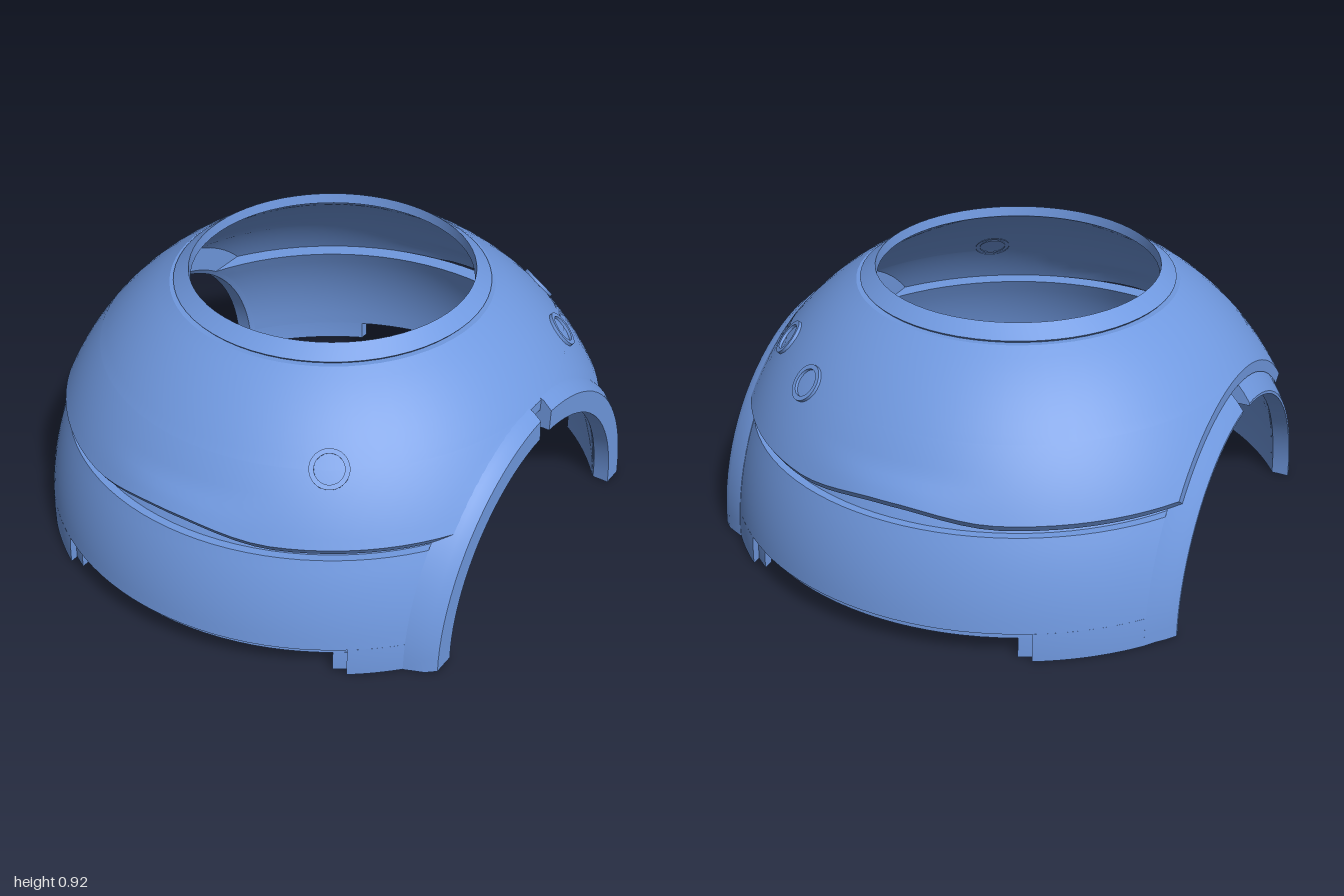
import * as THREE from 'three';
import { mergeGeometries, mergeVertices, toCreasedNormals } from 'three/addons/utils/BufferGeometryUtils.js';

const material = new THREE.MeshStandardMaterial({ color: 0x7099e0, side: THREE.DoubleSide });
const UPPER_CLIP = 0.79; // flat side cut of the upper dome
const LOWER_CLIP = 0.76; // where the lower shell meets the arch rims

// Meridian of a sphere as [radius, y] points, with rows packed near the top of the side cut
function arc(R, y0, y1, clip) {
  const ys = [];
  const top = Math.sqrt(R * R - clip * clip);
  if (y0 < top && top < y1) {
    const t0 = Math.asin(y0 / top);
    for (let i = 0; i <= 12; i++) ys.push(top * Math.sin(t0 + (Math.PI / 2 - t0) * i / 12));
    for (let i = 1; i <= 8; i++) ys.push(top + (y1 - top) * i / 8);
  } else {
    for (let i = 0; i <= 8; i++) ys.push(y0 + (y1 - y0) * i / 8);
  }
  return ys.map((y) => [Math.sqrt(R * R - y * y), y]);
}
const at = (R, y) => [Math.sqrt(R * R - y * y), y];

// Grid swept around y between two x limits; side = 1 front, -1 back
function patch(profile, x0, x1, side, warp) {
  const N = 32, pos = [], index = [];
  for (const [r, y] of profile) {
    const a0 = Math.asin(Math.max(-1, x0 / r)), a1 = Math.asin(Math.min(1, x1 / r));
    for (let j = 0; j <= N; j++) {
      const a = a0 + (a1 - a0) * j / N, x = r * Math.sin(a);
      pos.push(x, warp ? warp(x, y) : y, side * r * Math.cos(a));
    }
  }
  for (let i = 0; i < profile.length - 1; i++) {
    for (let j = 0; j < N; j++) {
      const a = i * (N + 1) + j, b = a + 1, c = b + N + 1, d = a + N + 1;
      if (side > 0) index.push(a, b, c, a, c, d);
      else index.push(a, c, b, a, d, c);
    }
  }
  const g = new THREE.BufferGeometry();
  g.setAttribute('position', new THREE.Float32BufferAttribute(pos, 3));
  g.setIndex(index);
  return g;
}

// Flat end of a swept section on a plane of constant x
function endCap(segments, x, side, dir) {
  const pts = segments.flat().filter(([r]) => r >= Math.abs(x) - 1e-4)
    .map(([r, y]) => new THREE.Vector2(-dir * side * Math.sqrt(Math.max(0, r * r - x * x)), y));
  const g = new THREE.ShapeGeometry(new THREE.Shape(pts));
  g.deleteAttribute('uv');
  return g.rotateY(dir * Math.PI / 2).translate(x, 0, 0);
}

// Closed section (list of smooth segments) swept on the front and the back
function shell(name, segments, x0, x1, warp) {
  const parts = segments.map((s) => {
    const g = mergeVertices(mergeGeometries([patch(s, x0, x1, 1, warp), patch(s, x0, x1, -1, warp)]), 1e-5);
    g.computeVertexNormals();
    return g;
  });
  for (const side of [1, -1]) parts.push(endCap(segments, x0, side, -1), endCap(segments, x1, side, 1));
  const mesh = new THREE.Mesh(mergeGeometries(parts), material);
  mesh.name = name;
  return mesh;
}

// Quarter of an arch rim: closed [x, radius] section turned about the x axis
function rimQuarter(name, section, dir, start, length) {
  const pts = section.map(([x, r]) => new THREE.Vector2(r, x));
  const body = new THREE.LatheGeometry([...pts, pts[0]], 20, start, length);
  const caps = [start, start + length].map((phi) =>
    new THREE.ShapeGeometry(new THREE.Shape(pts)).rotateY(phi - Math.PI / 2));
  const g = toCreasedNormals(mergeGeometries([body, ...caps]), 0.4);
  const mesh = new THREE.Mesh(g.rotateZ(-dir * Math.PI / 2), material);
  mesh.name = name;
  return mesh;
}

export function createModel() {
  const model = new THREE.Group();
  model.name = 'domeShell';

  // Upper dome with a bevelled round opening; its lower edge rises in the middle
  const raise = (x, y) => {
    const lift = 1 - THREE.MathUtils.smoothstep(Math.abs(x), 0.03, 0.36);
    return y + 0.033 * lift * THREE.MathUtils.clamp((0.56 - y) / 0.1, 0, 1);
  };
  model.add(shell('upperDome', [
    arc(1.025, 0.445, 0.868, UPPER_CLIP),
    [at(1.025, 0.868), [0.525, 0.868]],
    [[0.525, 0.868], [0.532, 0.876]],
    [[0.532, 0.876], [0.48, 0.915]],
    [[0.48, 0.915], at(1, 0.88)],
    arc(1, 0.42, 0.88, UPPER_CLIP).reverse(),
    [at(1, 0.42), at(1.025, 0.445)],
  ], -UPPER_CLIP, UPPER_CLIP, raise));

  // Lower wall: an outer and an inner layer, each with legs beside the wide notch
  const layer = (R, r, y0, y1) => [
    arc(R, y0, y1, LOWER_CLIP),
    [at(R, y1), at(r, y1)],
    arc(r, y0, y1, LOWER_CLIP).reverse(),
    [at(r, y0), at(R, y0)],
  ];
  const inner = [
    arc(0.975, 0.07, 0.44, LOWER_CLIP),
    [at(0.975, 0.44), at(1, 0.46)],
    [at(1, 0.46), at(0.945, 0.46)],
    arc(0.945, 0.07, 0.46, LOWER_CLIP).reverse(),
    [at(0.945, 0.07), at(0.975, 0.07)],
  ];
  model.add(shell('lowerWallOuter', layer(1, 0.975, 0.1, 0.4), -LOWER_CLIP, LOWER_CLIP));
  model.add(shell('lowerWallInner', inner, -LOWER_CLIP, LOWER_CLIP));
  model.add(shell('rightLegOuter', layer(1, 0.975, 0, 0.1), -LOWER_CLIP, -0.48));
  model.add(shell('leftLegOuter', layer(1, 0.975, 0, 0.1), 0.6, LOWER_CLIP));
  model.add(shell('rightLegInner', layer(0.975, 0.945, 0, 0.07), -LOWER_CLIP, -0.43));
  model.add(shell('leftLegInner', layer(0.975, 0.945, 0, 0.07), 0.55, LOWER_CLIP));

  // Arch rims, split at the top by a narrow slot
  const rightRim = [[0.76, 0.65], [0.785, 0.615], [0.81, 0.586], [0.832, 0.555], [0.832, 0.545], [0.772, 0.545], [0.76, 0.562]];
  const leftRim = [[0.735, 0.68], [0.8, 0.652], [0.83, 0.625], [0.83, 0.55], [0.772, 0.55], [0.735, 0.595]];
  const gap = 0.055, quarter = Math.PI / 2 - gap;
  for (const [side, section, dir, base] of [['right', rightRim, -1, 0], ['left', leftRim, 1, Math.PI]]) {
    model.add(rimQuarter(side + 'ArchRimA', section, dir, base, quarter));
    model.add(rimQuarter(side + 'ArchRimB', section, dir, base + Math.PI / 2 + gap, quarter));
  }

  // Small raised rings on the dome
  const ringProfile = [[0.048, -0.03], [0.048, 0.008], [0.064, 0.008], [0.064, -0.03]].map((p) => new THREE.Vector2(...p));
  const ringGeometry = toCreasedNormals(new THREE.LatheGeometry(ringProfile, 28), 0.5);
  for (const p of [[0.44, 0.66, 0.66], [0.44, 0.66, -0.66], [0.66, 0.67, -0.42]]) {
    const ring = new THREE.Mesh(ringGeometry, material);
    const normal = new THREE.Vector3(...p).normalize();
    ring.name = 'portRing';
    ring.position.copy(normal).multiplyScalar(1.025);
    ring.quaternion.setFromUnitVectors(new THREE.Vector3(0, 1, 0), normal);
    model.add(ring);
  }
  return model;
}
